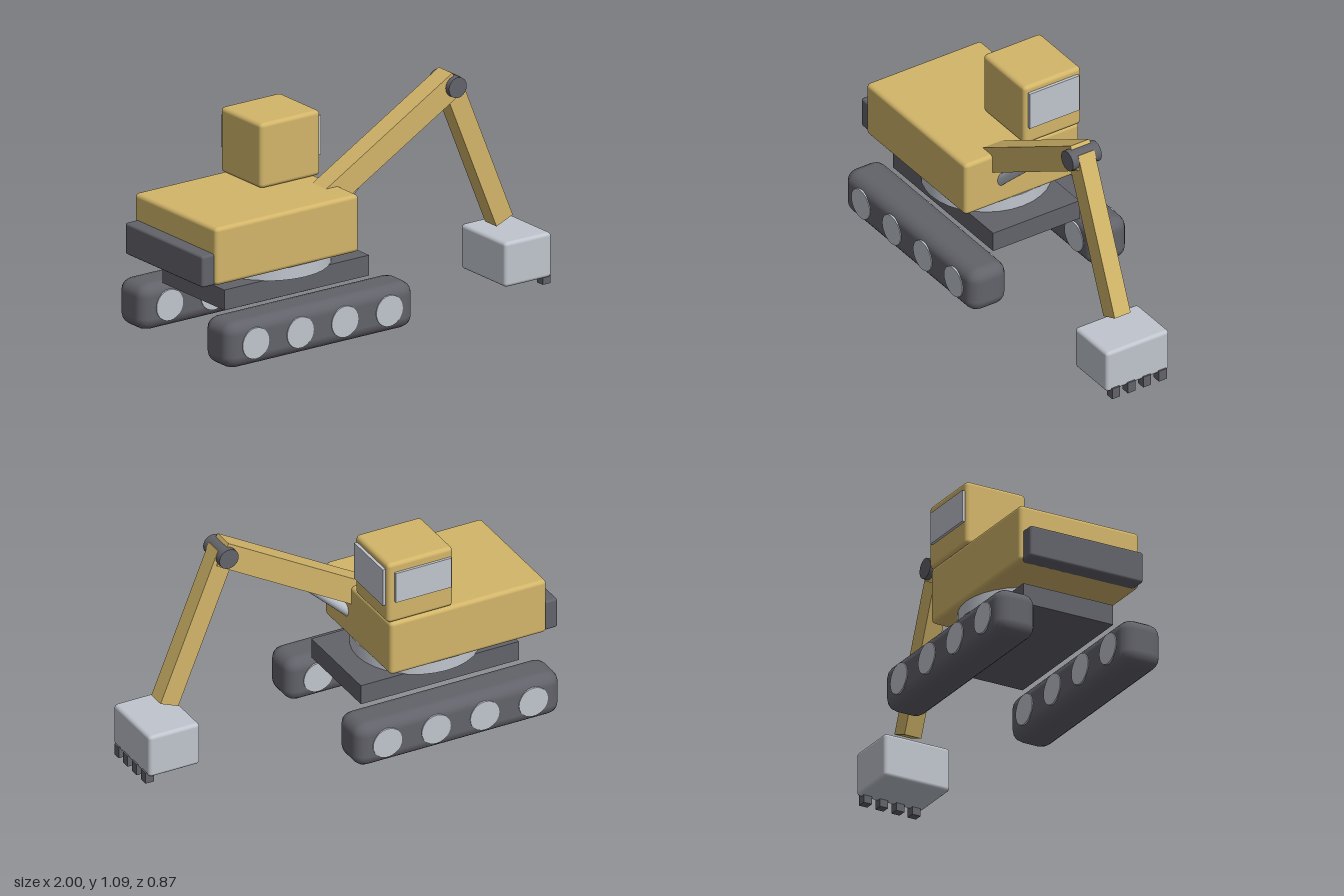
import * as THREE from 'three';
import { RoundedBoxGeometry } from 'three/addons/geometries/RoundedBoxGeometry.js';

const material = (name, color) => {
  const m = new THREE.MeshStandardMaterial({ color });
  m.name = name;
  return m;
};

export function createModel() {
  const yellow = material('yellow paint', 0xd2b569);
  const dark = material('dark rubber', 0x62626a);
  const steel = material('light steel', 0xc0c5ce);
  const model = new THREE.Group();
  model.name = 'excavator';

  const add = (name, geometry, mat, parent = model) => {
    const mesh = new THREE.Mesh(geometry, mat);
    mesh.name = name;
    parent.add(mesh);
    return mesh;
  };
  // Box given by its min and max corners; radius > 0 rounds the edges
  const box = (name, mat, [x0, y0, z0], [x1, y1, z1], radius = 0, segments = 2, parent = model) => {
    const size = [x1 - x0, y1 - y0, z1 - z0];
    const geometry = radius
      ? new RoundedBoxGeometry(...size, segments, radius)
      : new THREE.BoxGeometry(...size);
    const mesh = add(name, geometry, mat, parent);
    mesh.position.set((x0 + x1) / 2, (y0 + y1) / 2, (z0 + z1) / 2);
    return mesh;
  };
  // Straight beam in the arm plane from point a to point b
  const armZ = 0.113;
  const beam = (name, mat, a, b, thickness, width) => {
    const dx = b[0] - a[0], dy = b[1] - a[1];
    const mesh = add(name, new THREE.BoxGeometry(Math.hypot(dx, dy), thickness, width), mat);
    mesh.position.set((a[0] + b[0]) / 2, (a[1] + b[1]) / 2, armZ);
    mesh.rotation.z = Math.atan2(dy, dx);
    return mesh;
  };

  // Tracks with wheels showing on both faces
  for (const side of [1, -1]) {
    const track = new THREE.Group();
    track.name = side > 0 ? 'frontTrack' : 'backTrack';
    track.position.z = side * 0.331;
    model.add(track);
    box('trackBelt', dark, [-0.95, 0.018, -0.102], [0.112, 0.242, 0.102], 0.06, 2, track);
    for (let i = 0; i < 4; i++) {
      const wheel = add('wheel', new THREE.CylinderGeometry(0.075, 0.075, 0.212, 24), steel, track);
      wheel.rotation.x = Math.PI / 2;
      wheel.position.set(-0.798 + i * 0.2525, 0.13, 0);
    }
  }

  // Chassis and turntable
  box('chassis', dark, [-0.83, 0.24, -0.237], [-0.01, 0.338, 0.237]);
  add('turntable', new THREE.CylinderGeometry(0.3, 0.3, 0.07, 32), steel).position.set(-0.42, 0.37, 0);

  // Upper body
  box('body', yellow, [-0.935, 0.398, -0.315], [-0.122, 0.676, 0.315], 0.02);
  box('counterweight', dark, [-1, 0.398, -0.298], [-0.9, 0.55, 0.298], 0.012);

  // Cab and its windows
  box('cab', yellow, [-0.448, 0.678, -0.315], [-0.108, 0.992, 0], 0.02);
  box('frontWindow', steel, [-0.102, 0.77, -0.293], [-0.093, 0.96, -0.02]);
  add('frontWindowMount', new THREE.BoxGeometry(0.008, 0.19, 0.273), steel)
    .position.set(-0.106, 0.865, -0.1565);
  box('sideWindow', steel, [-0.432, 0.79, -0.328], [-0.143, 0.945, -0.319]);
  add('sideWindowMount', new THREE.BoxGeometry(0.289, 0.155, 0.008), steel)
    .position.set(-0.2875, 0.8675, -0.315);

  // Arm: boom, stick, elbow pin and hydraulic ram
  beam('boom', yellow, [-0.2, 0.607], [0.545, 1.037], 0.12, 0.105);
  beam('stick', yellow, [0.52, 1.041], [0.818, 0.312], 0.1, 0.088);
  const pin = add('elbowPin', new THREE.CylinderGeometry(0.05, 0.05, 0.157, 20), dark);
  pin.rotation.x = Math.PI / 2;
  pin.position.set(0.527, 1.023, armZ);
  const ram = add('hydraulicRam', new THREE.CylinderGeometry(0.025, 0.025, 0.438, 16), steel);
  ram.position.set(-0.04, 0.604, armZ);
  ram.rotation.z = Math.atan2(0.3, 0.32) - Math.PI / 2;

  // Bucket and teeth
  box('bucket', steel, [0.727, 0.04, armZ - 0.173], [0.992, 0.256, armZ + 0.173], 0.018);
  for (let i = 0; i < 4; i++) {
    const z = 0.24 - i * 0.0855;
    box('bucketTooth', dark, [0.957, 0.002, z - 0.0215], [1, 0.058, z + 0.0215]);
  }

  return model;
}
